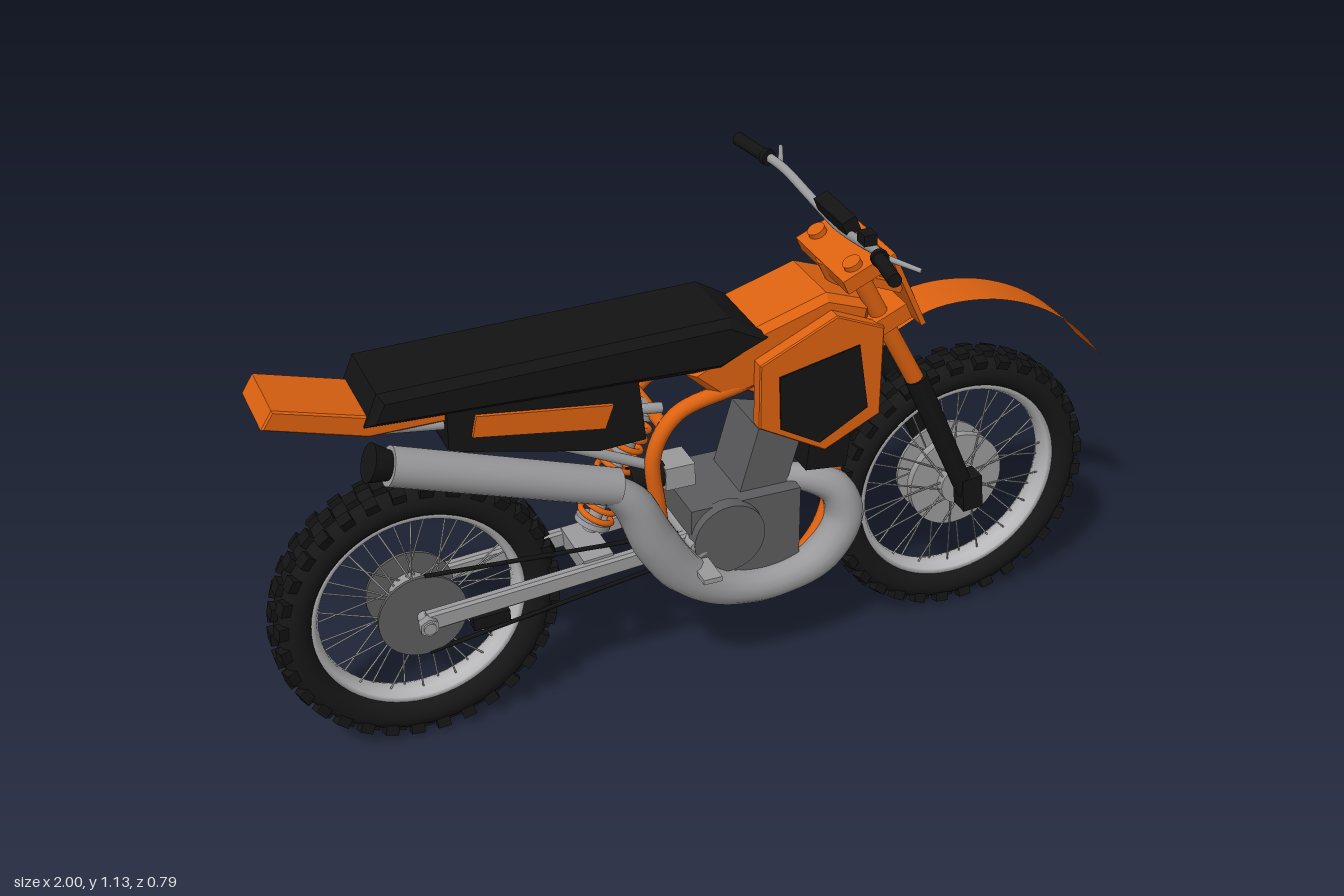
import * as THREE from 'three';
import { mergeGeometries } from 'three/addons/utils/BufferGeometryUtils.js';

const mat = (color, side = THREE.FrontSide) => new THREE.MeshStandardMaterial({ color, side });
const orange = mat(0xdd6210), black = mat(0x131313), rubber = mat(0x161616);
const steel = mat(0x9a9a9c), engineGrey = mat(0x5c5c5e), darkGrey = mat(0x2c2c2e);
const V = (x, y, z = 0) => new THREE.Vector3(x, y, z);
const Z = V(0, 0, 1);

export function createModel() {
  const root = new THREE.Group();
  const add = (name, geo, material, parent = root) => {
    const m = new THREE.Mesh(geo, material);
    m.name = name;
    parent.add(m);
    return m;
  };
  const both = fn => [1, -1].forEach(s => fn(s, s > 0 ? 'near' : 'far'));

  // Round rod between two points
  const rodGeo = (a, b, ra, rb = ra, n = 16) => {
    const d = b.clone().sub(a);
    const g = new THREE.CylinderGeometry(rb, ra, d.length(), n);
    g.applyQuaternion(new THREE.Quaternion().setFromUnitVectors(V(0, 1), d.normalize()));
    return g.translate(...a.clone().add(b).multiplyScalar(0.5).toArray());
  };
  const rod = (name, a, b, m, ra, rb, n) => add(name, rodGeo(a, b, ra, rb, n), m);
  // Box turned about z
  const box = (name, w, h, d, x, y, z, m, turn = 0) =>
    add(name, new THREE.BoxGeometry(w, h, d).rotateZ(turn).translate(x, y, z), m);
  // Side outline extruded along z, centred on z, with optional chamfer
  const plate = (name, pts, width, z, m, bevel = 0) => {
    const shape = new THREE.Shape(pts.map(p => new THREE.Vector2(...p)));
    const g = new THREE.ExtrudeGeometry(shape, {
      depth: width - 2 * bevel, bevelEnabled: bevel > 0, bevelSize: bevel, bevelOffset: -bevel,
      bevelThickness: bevel, bevelSegments: 1
    });
    return add(name, g.translate(0, 0, z - width / 2 + bevel), m);
  };
  // Tube through points; radii are spread evenly along its length
  const tube = (name, pts, radii, m, closed = false, seg = 70) => {
    const curve = new THREE.CatmullRomCurve3(pts.map(p => V(...p)), closed, 'centripetal');
    const g = new THREE.TubeGeometry(curve, seg, 1, 14, closed), p = g.attributes.position;
    for (let i = 0; i <= seg; i++) {
      const c = curve.getPointAt(i / seg), f = i / seg * (radii.length - 1), k = Math.min(Math.floor(f), radii.length - 2);
      const r = radii.length > 1 ? THREE.MathUtils.lerp(radii[k], radii[k + 1], f - k) : radii[0];
      for (let j = 0; j <= 14; j++) {
        const n = i * 15 + j, q = V(p.getX(n), p.getY(n), p.getZ(n)).sub(c).multiplyScalar(r).add(c);
        p.setXYZ(n, q.x, q.y, q.z);
      }
    }
    return add(name, g, m);
  };

  // Wheels: tyre, knobs, rim, spokes, hub; returns a helper that adds discs
  const wheel = (name, x, y, R, rim, halfW) => {
    const g = new THREE.Group();
    g.name = name;
    g.position.set(x, y, 0);
    root.add(g);
    const mid = (rim + R - 0.013) / 2, half = (R - 0.013 - rim) / 2;
    const prof = [];
    for (let i = 0; i <= 20; i++) {
      const a = i / 20 * Math.PI * 2, s = Math.sin(a);
      prof.push(new THREE.Vector2(mid + half * Math.cos(a), Math.sign(s) * Math.abs(s) ** 0.7 * halfW));
    }
    add('tyre', new THREE.LatheGeometry(prof, 64).rotateX(Math.PI / 2), rubber, g);
    const knobs = [], n = 32;
    for (let i = 0; i < n; i++) {
      for (const row of [-1, 0, 1]) {
        const k = new THREE.BoxGeometry(0.03, 0.026, row ? 0.026 : 0.036);
        k.rotateX(row * 0.3).translate(0, R - (row ? 0.02 : 0.013), row * (halfW - 0.015));
        knobs.push(k.rotateZ((i + (row ? 0.5 : 0)) / n * Math.PI * 2));
      }
    }
    add('tyreKnobs', mergeGeometries(knobs), black, g);
    const rimProf = [[rim + 0.008, -0.032], [rim - 0.006, -0.03], [rim - 0.015, -0.012], [rim - 0.015, 0.012],
      [rim - 0.006, 0.03], [rim + 0.008, 0.032], [rim + 0.008, -0.032]].map(p => new THREE.Vector2(...p));
    add('rim', new THREE.LatheGeometry(rimProf, 64).rotateX(Math.PI / 2), mat(0xb8b8ba, THREE.DoubleSide), g);
    const spokes = [];
    for (let i = 0; i < 36; i++) {
      const a = i / 36 * Math.PI * 2, b = a + (i % 4 < 2 ? 0.4 : -0.4), s = i % 2 ? 1 : -1;
      spokes.push(rodGeo(V(0.045 * Math.cos(b), 0.045 * Math.sin(b), s * 0.035),
        V((rim - 0.01) * Math.cos(a), (rim - 0.01) * Math.sin(a), s * 0.008), 0.0022, 0.0022, 5));
    }
    add('spokes', mergeGeometries(spokes), steel, g);
    const disc = (nm, r, w, z, m) => add(nm, new THREE.CylinderGeometry(r, r, w, 36).rotateX(Math.PI / 2).translate(0, 0, z), m, g);
    disc('hub', 0.05, 0.09, 0, steel);
    disc('axle', 0.014, 0.22, 0, steel);
    return disc;
  };
  const frontDisc = wheel('frontWheel', 0.65, 0.342, 0.336, 0.25, 0.05);
  frontDisc('brakeDrum', 0.12, 0.02, 0.012, steel);
  frontDisc('brakeDisc', 0.12, 0.008, -0.05, steel);
  const rearDisc = wheel('rearWheel', -0.67, 0.332, 0.325, 0.235, 0.053);
  rearDisc('sprocket', 0.1, 0.008, 0.052, engineGrey);
  rearDisc('brakeDisc', 0.1, 0.008, -0.05, engineGrey);

  // Fork legs, triple clamps and number plate
  both((s, side) => {
    const z = s * 0.088;
    rod(side + 'ForkUpper', V(0.315, 1.01, z), V(0.5, 0.66, z), orange, 0.021);
    rod(side + 'ForkLower', V(0.488, 0.69, z), V(0.64, 0.35, z), black, 0.027, 0.023);
    box(side + 'AxleClamp', 0.05, 0.085, 0.048, 0.645, 0.355, z, black, 0.1);
    box(side + 'PlateBracket', 0.08, 0.02, 0.02, 0.41, 0.93, s * 0.07, orange, -0.4);
  });
  box('upperClamp', 0.1, 0.035, 0.24, 0.335, 0.985, 0, orange, 0.42);
  box('lowerClamp', 0.1, 0.04, 0.24, 0.4, 0.86, 0, orange, 0.42);
  rod('steeringHead', V(0.31, 0.99), V(0.38, 0.84), orange, 0.035);
  box('numberPlate', 0.012, 0.205, 0.2, 0.452, 0.92, 0, orange, 0.43);
  box('numberPanel', 0.006, 0.115, 0.132, 0.461, 0.93, 0, black, 0.43);

  // Front mudguard: thin strip bent along a curve
  const guard = new THREE.CatmullRomCurve3([V(0.43, 0.79), V(0.54, 0.835), V(0.68, 0.832), V(0.81, 0.787), V(0.92, 0.71), V(1, 0.62)]);
  const strip = new THREE.PlaneGeometry(1, 0.116, 28, 1), sp = strip.attributes.position;
  for (let i = 0; i < sp.count; i++) {
    const c = guard.getPoint(Math.min(1, Math.max(0, sp.getX(i) + 0.5)));
    sp.setXYZ(i, c.x, c.y, -sp.getY(i));
  }
  strip.computeVertexNormals();
  add('frontMudguard', strip, mat(0xdd6210, THREE.DoubleSide));

  // Handlebar, grips, levers and pad
  const halfBar = [[0.265, 1.113, 0.38], [0.283, 1.11, 0.29], [0.3, 1.1, 0.23], [0.314, 1.077, 0.14], [0.322, 1.06, 0.06]];
  tube('handlebar', [...halfBar.map(([x, y, z]) => [x, y, -z]), [0.323, 1.055, 0], ...halfBar.reverse()], [0.0105], steel);
  both((s, side) => {
    rod(side + 'Grip', V(0.281, 1.11, s * 0.28), V(0.26, 1.114, s * 0.39), black, 0.015);
    rod(side + 'GripFlange', V(0.284, 1.11, s * 0.272), V(0.281, 1.11, s * 0.285), black, 0.019);
    tube(side + 'Lever', [[0.297, 1.1, s * 0.245], [0.314, 1.098, s * 0.275], [0.346, 1.098, s * 0.345]], [0.007, 0.005], steel, false, 12);
  });
  box('barPad', 0.035, 0.036, 0.142, 0.322, 1.083, 0, black, 0.4);
  box('switchBox', 0.03, 0.025, 0.034, 0.293, 1.12, 0.2, black);

  // Frame: one closed cradle loop each side, joined by cross tubes
  both((s, side) => {
    const p = [[0.35, 0.86, 0.04], [0.315, 0.62, 0.058], [0.3, 0.45, 0.065], [0.265, 0.34, 0.075], [0.19, 0.268, 0.082], [0.08, 0.25, 0.085],
      [-0.04, 0.285, 0.085], [-0.11, 0.36, 0.085], [-0.135, 0.5, 0.09], [-0.145, 0.64, 0.092], [-0.09, 0.725, 0.09], [0.08, 0.765, 0.08], [0.24, 0.82, 0.05]];
    tube(side + 'FrameLoop', p.map(([x, y, z]) => [x, y, s * z]), [0.018], orange, true, 110);
    rod(side + 'SubframeRail', V(-0.12, 0.74, s * 0.075), V(-0.72, 0.82, s * 0.065), steel, 0.012);
    rod(side + 'SubframeStay', V(-0.14, 0.6, s * 0.08), V(-0.5, 0.77, s * 0.07), steel, 0.012);
    box(side + 'FootpegBracket', 0.04, 0.03, 0.06, -0.056, 0.365, s * 0.1, steel);
    box(side + 'Footpeg', 0.044, 0.012, 0.085, -0.056, 0.36, s * 0.17, steel);
  });
  for (const [x, y] of [[-0.125, 0.44], [0.1, 0.25], [-0.12, 0.7]]) rod('frameCrossTube', V(x, y, -0.085), V(x, y, 0.085), orange, 0.015);

  // Swingarm, chain and chain guide
  both((s, side) => {
    plate(side + 'Swingarm', [[-0.67, 0.31], [-0.05, 0.362], [-0.05, 0.412], [-0.2, 0.392], [-0.67, 0.356]], 0.026, s * 0.078, steel, 0.006);
    rod(side + 'AxleNut', V(-0.67, 0.332, s * 0.085), V(-0.67, 0.332, s * 0.105), steel, 0.022, 0.022, 6);
  });
  rod('swingarmPivot', V(-0.06, 0.395, -0.128), V(-0.06, 0.395, 0.128), steel, 0.015);
  box('swingarmBridge', 0.07, 0.05, 0.15, -0.27, 0.368, 0, steel, 0.08);
  both((s, side) => rod(side + 'ChainRun', V(-0.66, 0.332 + s * 0.1, 0.053), V(-0.02, 0.36 + s * 0.03, 0.053), black, 0.005, 0.005, 6));
  box('chainGuide', 0.085, 0.03, 0.03, -0.52, 0.287, 0.053, black, 0.05);

  // Rear shock with coil spring
  const low = V(-0.265, 0.42), high = V(-0.135, 0.72), axis = high.clone().sub(low).normalize(), cross = axis.clone().cross(Z);
  rod('shockRod', low, high, steel, 0.016);
  rod('shockBody', low.clone().lerp(high, 0.6), high, steel, 0.024);
  both((s, side) => rod(side + 'SpringSeat', low.clone().lerp(high, 0.5 + s * 0.41), low.clone().lerp(high, 0.5 + s * 0.45), steel, 0.042));
  const coil = [];
  for (let i = 0; i <= 120; i++) {
    const a = i / 120 * Math.PI * 20;
    coil.push(low.clone().lerp(high, 0.1 + 0.8 * i / 120).addScaledVector(cross, 0.039 * Math.cos(a)).addScaledVector(Z, 0.039 * Math.sin(a)).toArray());
  }
  tube('shockSpring', coil, [0.007], orange, false, 280);

  // Engine
  plate('crankcase', [[-0.065, 0.275], [0.2, 0.275], [0.2, 0.48], [-0.065, 0.48]], 0.22, 0, engineGrey);
  rod('clutchCover', V(0.02, 0.4, 0.1), V(0.02, 0.4, 0.13), engineGrey, 0.088, 0.085, 36);
  rod('ignitionCover', V(0.02, 0.38, -0.1), V(0.02, 0.38, -0.118), darkGrey, 0.07, 0.068, 36);
  box('cylinder', 0.11, 0.17, 0.15, 0.14, 0.535, 0, engineGrey, -0.28);
  box('carburettor', 0.07, 0.055, 0.08, -0.07, 0.543, 0.02, steel);
  rod('airIntake', V(-0.18, 0.545, 0.03), V(-0.1, 0.545, 0.03), black, 0.03);

  // Exhaust: swelling chamber, silencer and end cap
  tube('exhaustPipe', [[0.18, 0.48, 0.04], [0.25, 0.47, 0.07], [0.3, 0.44, 0.088], [0.314, 0.37, 0.1], [0.25, 0.285, 0.11], [0.13, 0.25, 0.116],
    [0.01, 0.272, 0.125], [-0.09, 0.34, 0.132], [-0.165, 0.45, 0.137], [-0.215, 0.555, 0.134], [-0.28, 0.615, 0.126]],
    [0.028, 0.038, 0.046, 0.045, 0.04, 0.039, 0.044, 0.05, 0.052, 0.046, 0.03], steel);
  rod('silencer', V(-0.245, 0.6, 0.128), V(-0.735, 0.767, 0.124), steel, 0.042, 0.043, 24);
  rod('silencerTip', V(-0.72, 0.762, 0.124), V(-0.775, 0.784, 0.124), black, 0.028, 0.042, 24);

  // Seat, rear mudguard, airbox and side panels
  plate('seat', [[-0.74, 0.918], [0.03, 0.934], [0.13, 0.873], [0.01, 0.815], [-0.77, 0.846]], 0.22, 0, black, 0.018);
  plate('rearMudguard', [[-0.975, 0.882], [-0.95, 0.922], [-0.72, 0.856], [-0.5, 0.85], [-0.5, 0.82], [-0.76, 0.818]], 0.172, 0, orange, 0.004);
  plate('airbox', [[-0.6, 0.85], [-0.18, 0.83], [-0.165, 0.685], [-0.27, 0.68], [-0.6, 0.755]], 0.2, 0, black);
  both((s, side) => plate(side + 'SidePanel', [[-0.54, 0.83], [-0.24, 0.79], [-0.26, 0.737], [-0.55, 0.782]], 0.014, s * 0.102, orange));

  // Fuel tank, shrouds and radiators
  plate('fuelTank', [[-0.07, 0.815], [0.1, 0.895], [0.26, 0.945], [0.37, 0.905], [0.35, 0.8], [0.1, 0.75], [0.02, 0.73]], 0.2, 0, orange, 0.016);
  both((s, side) => {
    plate(side + 'Shroud', [[0.085, 0.825], [0.265, 0.91], [0.38, 0.86], [0.378, 0.645], [0.245, 0.58], [0.085, 0.67]], 0.035, s * 0.117, orange, 0.003);
    plate(side + 'ShroudPanel', [[0.13, 0.79], [0.32, 0.83], [0.345, 0.67], [0.23, 0.605], [0.135, 0.66]], 0.01, s * 0.133, black);
    box(side + 'Radiator', 0.1, 0.26, 0.065, 0.28, 0.64, s * 0.07, black, -0.12);
  });
  return root;
}
